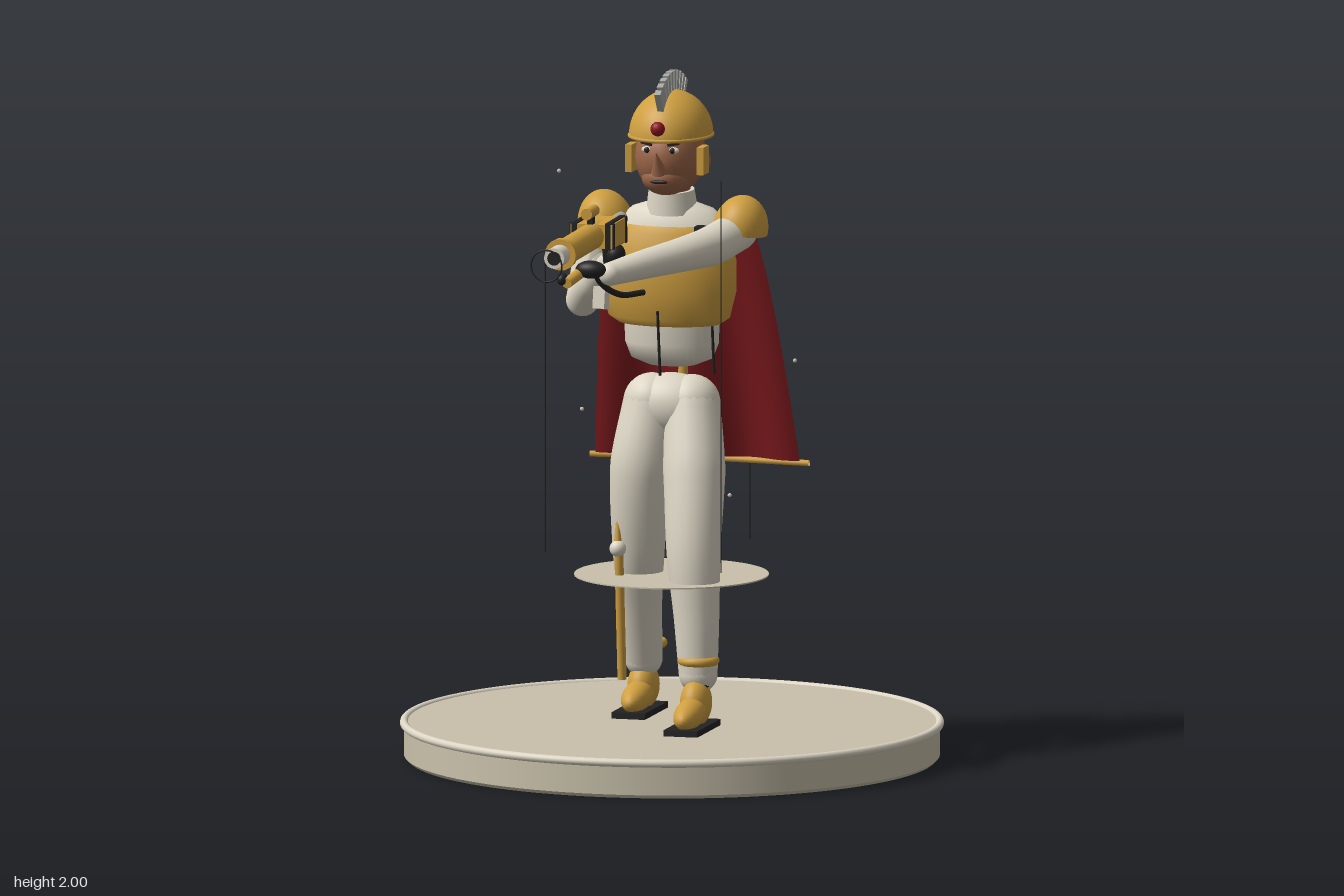
import * as THREE from 'three';
import { RoundedBoxGeometry } from 'three/addons/geometries/RoundedBoxGeometry.js';

const V = (x, y, z) => new THREE.Vector3(x, y, z);
const mat = (name, color, side = THREE.FrontSide) => {
  const m = new THREE.MeshStandardMaterial({ color, side });
  m.name = name;
  return m;
};

export function createModel() {
  const ivory = mat('ivory', 0xddd6c5), stone = mat('stone', 0xc9c1ab), gold = mat('gold', 0xcf9f40, THREE.DoubleSide);
  const red = mat('cape red', 0x821b1f, THREE.DoubleSide), black = mat('black', 0x232323), skin = mat('skin', 0x9c6648);
  const silver = mat('silver', 0xa9a9a4), gem = mat('gem red', 0x8a1420);
  const model = new THREE.Group();
  model.name = 'soldierOnPlinth';

  const add = (name, geo, m, p = [0, 0, 0], r = [0, 0, 0], s = [1, 1, 1], parent = model) => {
    const mesh = new THREE.Mesh(geo, m);
    mesh.name = name;
    mesh.position.set(...p);
    mesh.rotation.set(...r);
    mesh.scale.set(...s);
    parent.add(mesh);
    return mesh;
  };
  const ball = (name, m, p, s, r, parent) => add(name, new THREE.SphereGeometry(1, 28, 18), m, p, r, s, parent);
  const box = (name, m, p, size, r, parent) => add(name, new THREE.BoxGeometry(...size), m, p, r, [1, 1, 1], parent);
  // straight round bar between two points, optionally tapered
  const rod = (name, m, a, b, r0, r1 = r0, parent = model) => {
    const A = V(...a), B = V(...b), d = B.clone().sub(A);
    const mesh = add(name, new THREE.CylinderGeometry(r1, r0, d.length(), 20), m, A.clone().add(B).multiplyScalar(0.5).toArray(), [0, 0, 0], [1, 1, 1], parent);
    mesh.quaternion.setFromUnitVectors(V(0, 1, 0), d.normalize());
    return mesh;
  };
  // curved limb with a radius per control point [x, y, z, r] and rounded ends
  const limb = (name, m, pts) => {
    const curve = new THREE.CatmullRomCurve3(pts.map(p => V(p[0], p[1], p[2])));
    const seg = 30, sides = 20, geo = new THREE.TubeGeometry(curve, seg, 1, sides), pos = geo.attributes.position;
    for (let i = 0; i <= seg; i++) {
      const c = curve.getPointAt(i / seg), t = curve.getUtoTmapping(i / seg) * (pts.length - 1);
      const k = Math.min(Math.floor(t), pts.length - 2), f = t - k;
      const r = THREE.MathUtils.lerp(pts[k][3], pts[k + 1][3], f);
      for (let j = 0; j <= sides; j++) {
        const n = i * (sides + 1) + j, v = V(0, 0, 0).fromBufferAttribute(pos, n).sub(c).multiplyScalar(r).add(c);
        pos.setXYZ(n, v.x, v.y, v.z);
      }
    }
    geo.computeVertexNormals();
    add(name, geo, m);
    [pts[0], pts[pts.length - 1]].forEach(p => ball(name + 'End', m, p.slice(0, 3), [p[3], p[3], p[3]]));
  };
  const lathe = pts => new THREE.LatheGeometry(pts.map(p => new THREE.Vector2(...p)), 40);
  const dome = () => new THREE.SphereGeometry(1, 32, 14, 0, Math.PI * 2, 0, Math.PI / 2);

  // plinth, hovering disc, thin strands and motes
  add('plinth', new THREE.CylinderGeometry(0.77, 0.77, 0.085, 96), stone, [0, 0.0525, -0.05]);
  add('plinthFoot', new THREE.CylinderGeometry(0.77, 0.76, 0.01, 96), stone, [0, 0.005, -0.05]);
  add('plinthTop', new THREE.CylinderGeometry(0.765, 0.765, 0.015, 96), stone, [0, 0.1, -0.05]);
  add('plinthRim', new THREE.TorusGeometry(0.77, 0.012, 12, 96), ivory, [0, 0.103, -0.05], [Math.PI / 2, 0, 0]);
  add('hoverDisc', new THREE.CylinderGeometry(0.28, 0.28, 0.004, 64), stone, [0, 0.535, -0.045]);
  [1.73, 1.44, 1.15].forEach((top, i) => {
    const a = 0.9 + i * Math.PI * 2 / 3, x = 0.367 * Math.cos(a), z = -0.05 + 0.367 * Math.sin(a);
    rod('strand', black, [x, 0.59, z], [x, top, z], 0.002);
  });
  [[0.05, 0.7, -0.48], [-0.34, 1.69, -0.06], [0.35, 1.16, -0.11], [0.21, 1.23, -0.36], [-0.36, 0.95, -0.37]]
    .forEach(p => ball('mote', stone, p, [0.006, 0.006, 0.006]));

  // legs, boots and ankle rings
  ball('pelvis', ivory, [0, 1.025, -0.05], [0.135, 0.095, 0.088]);
  limb('leftLeg', ivory, [[0.06, 1.035, -0.05, 0.082], [0.085, 0.85, 0.015, 0.09], [0.1, 0.62, 0.075, 0.078], [0.112, 0.44, 0.087, 0.066], [0.118, 0.27, 0.09, 0.056]]);
  limb('rightLeg', ivory, [[-0.06, 1.035, -0.05, 0.082], [-0.085, 0.85, -0.02, 0.088], [-0.098, 0.62, -0.045, 0.076], [-0.11, 0.44, -0.1, 0.064], [-0.115, 0.27, -0.155, 0.055]]);
  [['left', 0.12, 0.16, 0.095], ['right', -0.115, -0.115, -0.185]].forEach(([side, x, z, rz]) => {
    box(side + 'Sole', black, [x, 0.124, z], [0.1, 0.018, 0.245]);
    ball(side + 'Boot', gold, [x, 0.168, z + 0.02], [0.042, 0.042, 0.1], [0.15, 0, 0]);
    ball(side + 'BootHeel', gold, [x, 0.19, z - 0.04], [0.045, 0.07, 0.065], [-0.35, 0, 0]);
    rod(side + 'AnkleStrap', black, [x, 0.24, z - 0.06], [x, 0.25, z - 0.058], 0.04);
    add(side + 'AnkleRing', new THREE.TorusGeometry(0.047, 0.014, 12, 32), gold, [x, 0.31, rz], [Math.PI / 2, 0, 0]);
  });
  box('holster', ivory, [-0.1, 0.79, -0.075], [0.05, 0.13, 0.06], [0.1, 0, 0]);

  // sidearm blade
  rod('scabbard', gold, [-0.135, 0.23, 0.0], [-0.135, 0.62, 0.035], 0.013);
  rod('bladeTip', gold, [-0.138, 0.62, 0.035], [-0.14, 0.76, 0.02], 0.012, 0.001);
  ball('pommel', ivory, [-0.137, 0.615, 0.037], [0.024, 0.024, 0.024]);

  // torso and breastplate
  add('abdomen', lathe([[0, 1.14], [0.07, 1.145], [0.12, 1.165], [0.138, 1.21], [0.14, 1.3]]), ivory, [0, 0, -0.05], [0, 0, 0], [1, 1, 0.68]);
  add('torso', lathe([[0.138, 1.26], [0.165, 1.36], [0.185, 1.48], [0.175, 1.55], [0.12, 1.6], [0.06, 1.62], [0, 1.625]]), ivory, [0, 0, -0.06], [0, 0, 0], [1, 1, 0.52]);
  const plate = new THREE.LatheGeometry([[0.15, 1.27], [0.18, 1.29], [0.2, 1.37], [0.2, 1.46], [0.17, 1.54], [0.14, 1.56]].map(p => new THREE.Vector2(...p)), 36, -Math.PI / 2, Math.PI);
  add('breastplate', plate, gold, [0, 0, -0.025], [0, 0, 0], [1, 1, 0.62]);
  rod('chestCord', black, [0, 1.13, 0.075], [0, 1.32, 0.102], 0.004);
  rod('sideCord', black, [0.14, 1.13, 0], [0.14, 1.27, 0.02], 0.004);
  box('badge', black, [0.13, 1.545, 0.035], [0.07, 0.035, 0.04]);
  box('badgeStripe', gem, [0.13, 1.545, 0.057], [0.05, 0.015, 0.008]);
  rod('neck', skin, [0, 1.6, -0.045], [0, 1.69, -0.045], 0.055);
  rod('collar', ivory, [0, 1.59, -0.05], [0, 1.655, -0.045], 0.075, 0.066);

  // arms and shoulder guards
  for (const s of [-1, 1]) add('shoulderGuard', dome(), gold, [s * 0.2, 1.54, -0.06], [0, 0, -s * 0.18], [0.08, 0.103, 0.094]);
  limb('leftArm', ivory, [[0.195, 1.54, -0.05, 0.058], [0.155, 1.515, 0.08, 0.058], [0.105, 1.505, 0.19, 0.05], [0.02, 1.49, 0.32, 0.042], [-0.05, 1.475, 0.42, 0.034]]);
  limb('rightUpperArm', ivory, [[-0.2, 1.54, -0.05, 0.058], [-0.235, 1.43, -0.03, 0.055], [-0.25, 1.33, 0.01, 0.048]]);
  limb('rightForearm', ivory, [[-0.25, 1.33, 0.01, 0.048], [-0.2, 1.39, 0.08, 0.045], [-0.12, 1.47, 0.15, 0.034]]);
  rod('rightCuff', ivory, [-0.18, 1.41, 0.1], [-0.14, 1.45, 0.135], 0.046);
  ball('rightGlove', black, [-0.1, 1.495, 0.19], [0.028, 0.032, 0.032]);
  ball('leftGlove', black, [-0.1, 1.49, 0.45], [0.045, 0.026, 0.03]);
  rod('foregrip', gold, [-0.13, 1.48, 0.45], [-0.15, 1.46, 0.53], 0.016);
  ball('foregripTip', black, [-0.165, 1.47, 0.52], [0.016, 0.018, 0.022]);

  // blaster, built around its own bore line
  const gun = new THREE.Group();
  gun.name = 'blaster';
  gun.position.set(-0.123, 1.578, 0);
  gun.rotation.x = 0.015;
  model.add(gun);
  const bore = (name, m, z0, z1, r) => rod(name, m, [0, 0, z0], [0, 0, z1], r, r, gun);
  bore('barrel', gold, 0.3, 0.68, 0.038);
  bore('barrelRing', gold, 0.665, 0.69, 0.046);
  bore('muzzle', ivory, 0.69, 0.755, 0.03);
  bore('muzzleBore', black, 0.75, 0.757, 0.02);
  bore('stock', silver, 0.05, 0.23, 0.02);
  box('receiver', gold, [0, 0, 0.29], [0.125, 0.07, 0.15], [0, 0, 0], gun);
  for (const s of [-1, 1]) {
    box('receiverRail', black, [s * 0.05, 0, 0.29], [0.016, 0.078, 0.154], [0, 0, 0], gun);
    for (const z of [0.225, 0.355]) box('receiverBand', black, [s * 0.06, 0, z], [0.012, 0.076, 0.012], [0, 0, 0], gun);
  }
  rod('scope', gold, [0, 0.072, 0.335], [0, 0.072, 0.415], 0.017, 0.017, gun);
  box('scopeMount', black, [0, 0.045, 0.365], [0.015, 0.04, 0.03], [0, 0, 0], gun);
  box('magazine', ivory, [0, -0.195, 0.265], [0.035, 0.065, 0.05], [-0.2, 0, 0], gun);
  rod('pistolGrip', black, [0, -0.03, 0.21], [0, -0.12, 0.185], 0.014, 0.014, gun);
  add('muzzleSight', new THREE.TorusGeometry(0.046, 0.0025, 8, 40), black, [-0.123, 1.557, 0.835]);
  const hose = new THREE.CatmullRomCurve3([V(-0.12, 1.5, 0.38), V(-0.11, 1.43, 0.31), V(-0.08, 1.38, 0.2), V(-0.04, 1.375, 0.11)]);
  add('powerHose', new THREE.TubeGeometry(hose, 24, 0.009, 10), black);

  // head and face
  ball('head', skin, [0, 1.755, -0.035], [0.1, 0.115, 0.128]);
  ball('jaw', skin, [0, 1.7, 0.005], [0.072, 0.055, 0.085]);
  add('nose', new THREE.ConeGeometry(0.024, 0.07, 16), skin, [0, 1.753, 0.1], [0.5, 0, 0]);
  ball('mouth', black, [0, 1.694, 0.088], [0.026, 0.006, 0.006]);
  for (const s of [-1, 1]) {
    ball('eyeWhite', ivory, [s * 0.038, 1.785, 0.073], [0.018, 0.01, 0.01]);
    ball('pupil', black, [s * 0.038, 1.785, 0.081], [0.008, 0.009, 0.005]);
    box('eyebrow', black, [s * 0.04, 1.803, 0.076], [0.035, 0.006, 0.012], [0, s * 0.3, s * 0.15]);
    ball('ear', skin, [s * 0.1, 1.74, -0.05], [0.015, 0.032, 0.022]);
    box('earGuard', gold, [s * 0.107, 1.75, 0.003], [0.02, 0.08, 0.06]);
  }

  // helmet with crest
  add('helmet', dome(), gold, [0, 1.812, -0.04], [0, 0, 0], [0.12, 0.132, 0.144]);
  add('helmetBrim', new THREE.TorusGeometry(1, 0.05, 8, 48), gold, [0, 1.814, -0.04], [Math.PI / 2, 0, 0], [0.117, 0.14, 0.12]);
  ball('browGem', gem, [0, 1.85, 0.1], [0.021, 0.021, 0.019]);
  for (let i = 0; i < 10; i++) {
    const a = -0.72 + i * 0.16;
    box('crestFin', silver, [0, 1.812 + 0.153 * Math.cos(a), -0.04 - 0.18 * Math.sin(a)], [0.018, 0.068, 0.02], [-a * 0.8, 0, 0]);
  }

  // cape: a plane widened, sloped back and rippled toward the hem
  const cape = new THREE.PlaneGeometry(2, 1, 48, 20), cp = cape.attributes.position;
  for (let i = 0; i < cp.count; i++) {
    const u = cp.getX(i), v = 0.5 - cp.getY(i);
    cp.setXYZ(i, u * (0.185 + 0.12 * Math.sqrt(v)), 1.575 - 0.74 * v, -0.145 - 0.19 * v + (0.006 + 0.016 * v) * Math.cos(u * 7));
  }
  cape.computeVertexNormals();
  add('cape', cape, red);
  const hem = new THREE.CatmullRomCurve3([V(-0.33, 0.825, -0.348), V(0, 0.825, -0.368), V(0.325, 0.825, -0.348)]);
  add('capeHemBar', new THREE.TubeGeometry(hem, 24, 0.009, 10), gold);

  // backpack, antenna and back scabbard
  add('backpack', new RoundedBoxGeometry(0.24, 0.265, 0.115, 4, 0.025), ivory, [0, 1.388, -0.228]);
  box('backpackSeam', stone, [0, 1.44, -0.286], [0.17, 0.008, 0.004]);
  rod('antenna', black, [-0.083, 1.5, -0.25], [-0.083, 1.87, -0.25], 0.004);
  rod('backScabbard', gold, [0.01, 1.6, -0.175], [-0.01, 1.085, -0.2], 0.018, 0.014);
  return model;
}
